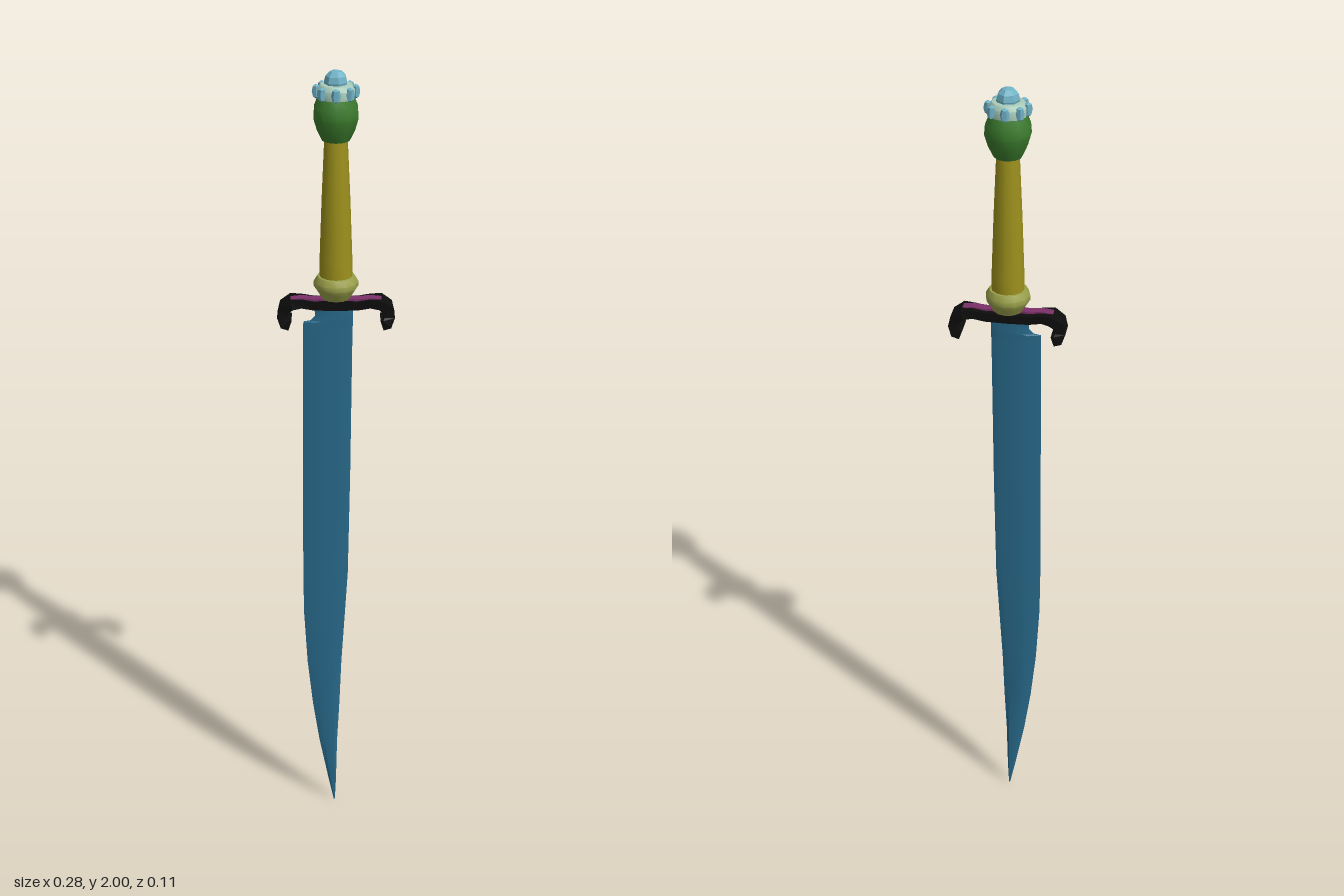
import * as THREE from 'three';
import { toCreasedNormals } from 'three/addons/utils/BufferGeometryUtils.js';

const mat = (color) => new THREE.MeshStandardMaterial({ color });
const BLUE = mat(0x28698a), YELLOW = mat(0x9c901c), OLIVE = mat(0x99a04a), GREEN = mat(0x3a7a2c);
const AQUA = mat(0x6fb2c6), PALE = mat(0xa9ccba), BLACK = mat(0x0d0d0d), PLUM = mat(0x7c3069);

// Skin a list of equal-sized rings and close both ends
function loft(rings) {
  const n = rings[0].length, idx = [];
  for (let r = 0; r < rings.length - 1; r++) {
    for (let i = 0; i < n; i++) {
      const a = r * n + i, b = r * n + (i + 1) % n;
      idx.push(a, b, b + n, a, b + n, a + n);
    }
  }
  const last = (rings.length - 1) * n;
  for (let i = 1; i < n - 1; i++) idx.push(0, i + 1, i, last, last + i, last + i + 1);
  const g = new THREE.BufferGeometry();
  g.setAttribute('position', new THREE.Float32BufferAttribute(rings.flat(2), 3));
  g.setIndex(idx);
  return toCreasedNormals(g, 0.5);
}

// Sweep a rectangle along a mirrored path of [x, y, half thickness, half width]
function sweepBar(half, zOffset = 0) {
  const path = [...half.slice(1).reverse().map(([x, ...rest]) => [-x, ...rest]), ...half];
  const rings = path.map(([x, y, t, w], i) => {
    const p = path[Math.max(i - 1, 0)], q = path[Math.min(i + 1, path.length - 1)];
    const dir = new THREE.Vector2(q[0] - p[0], q[1] - p[1]).normalize();
    return [[1, 1], [-1, 1], [-1, -1], [1, -1]].map(([s, k]) =>
      [x - dir.y * t * s, y + dir.x * t * s, zOffset + w * k]);
  });
  return loft(rings);
}

function lathe(points, sides) {
  const g = new THREE.LatheGeometry(points.map(([r, y]) => new THREE.Vector2(r, y)), sides);
  return toCreasedNormals(g, 0.7);
}

export function createModel() {
  const model = new THREE.Group();
  const add = (name, geometry, material, parent = model) => {
    const mesh = new THREE.Mesh(geometry, material);
    mesh.name = name;
    parent.add(mesh);
    return mesh;
  };

  // Blade: [y, cutting edge x, spine x, half thickness], with a notch near the guard
  const stations = [
    [0, -0.006, -0.003, 0.001], [0.07, -0.02, 0, 0.005], [0.2, -0.044, 0.003, 0.008],
    [0.32, -0.061, 0.009, 0.008], [0.45, -0.074, 0.014, 0.008], [0.6, -0.082, 0.023, 0.008],
    [0.72, -0.083, 0.03, 0.008], [1.0, -0.081, 0.035, 0.008], [1.38, -0.078, 0.039, 0.008],
    [1.403, -0.077, 0.04, 0.008], [1.406, -0.06, 0.04, 0.008], [1.418, -0.049, 0.04, 0.008],
    [1.432, -0.05, 0.04, 0.008], [1.45, -0.06, 0.04, 0.008],
  ];
  add('blade', loft(stations.map(([y, l, r, t]) => {
    const a = l + (r - l) * 0.25, b = l + (r - l) * 0.85, e = t * 0.3;
    return [[a, y, t], [b, y, t], [r, y, e], [r, y, -e], [b, y, -t], [a, y, -t], [l, y, -e], [l, y, e]];
  })), BLUE);

  // Crossguard with drooping, flared scroll ends
  add('crossguard', sweepBar([
    [0, 1.451, 0.012, 0.022], [0.05, 1.45, 0.01, 0.022], [0.08, 1.455, 0.01, 0.022],
    [0.104, 1.454, 0.011, 0.029], [0.121, 1.441, 0.013, 0.024], [0.126, 1.422, 0.012, 0.024],
    [0.12, 1.407, 0.013, 0.029], [0.108, 1.403, 0.012, 0.027],
  ]), BLACK);
  add('guardInlay', sweepBar([
    [0, 1.46, 0.01, 0.011], [0.05, 1.457, 0.008, 0.011], [0.08, 1.462, 0.006, 0.011],
    [0.106, 1.459, 0.006, 0.011],
  ], 0.004), PLUM);

  // Handle
  add('collar', lathe([
    [0, 1.462], [0.034, 1.465], [0.043, 1.48], [0.052, 1.494], [0.052, 1.506], [0.044, 1.52], [0, 1.523],
  ], 12), OLIVE);
  add('grip', lathe([[0.039, 1.515], [0.038, 1.56], [0.033, 1.7], [0.026, 1.855]], 12), YELLOW);

  // Pommel
  add('pommel', lathe([
    [0, 1.838], [0.032, 1.842], [0.045, 1.868], [0.053, 1.895], [0.051, 1.918], [0.042, 1.94], [0, 1.945],
  ], 10), GREEN);
  add('pommelRing', lathe([
    [0.036, 1.932], [0.043, 1.938], [0.044, 1.958], [0.036, 1.968], [0, 1.97],
  ], 10), PALE);

  // Crown of beads around the ring
  const beads = new THREE.Group();
  beads.name = 'crownBeads';
  model.add(beads);
  const beadShape = toCreasedNormals(new THREE.SphereGeometry(0.011, 6, 4), 0.7);
  for (let i = 0; i < 8; i++) {
    const a = (i / 8) * Math.PI * 2;
    const bead = add('bead', beadShape, AQUA, beads);
    bead.position.set(Math.sin(a) * 0.044, 1.952, Math.cos(a) * 0.044);
    bead.scale.y = 1.5;
    bead.rotation.y = a;
  }

  // Faceted gem on top
  const gem = add('topGem', toCreasedNormals(new THREE.SphereGeometry(0.027, 7, 6), 0.3), AQUA);
  gem.position.y = 1.973;

  return model;
}
